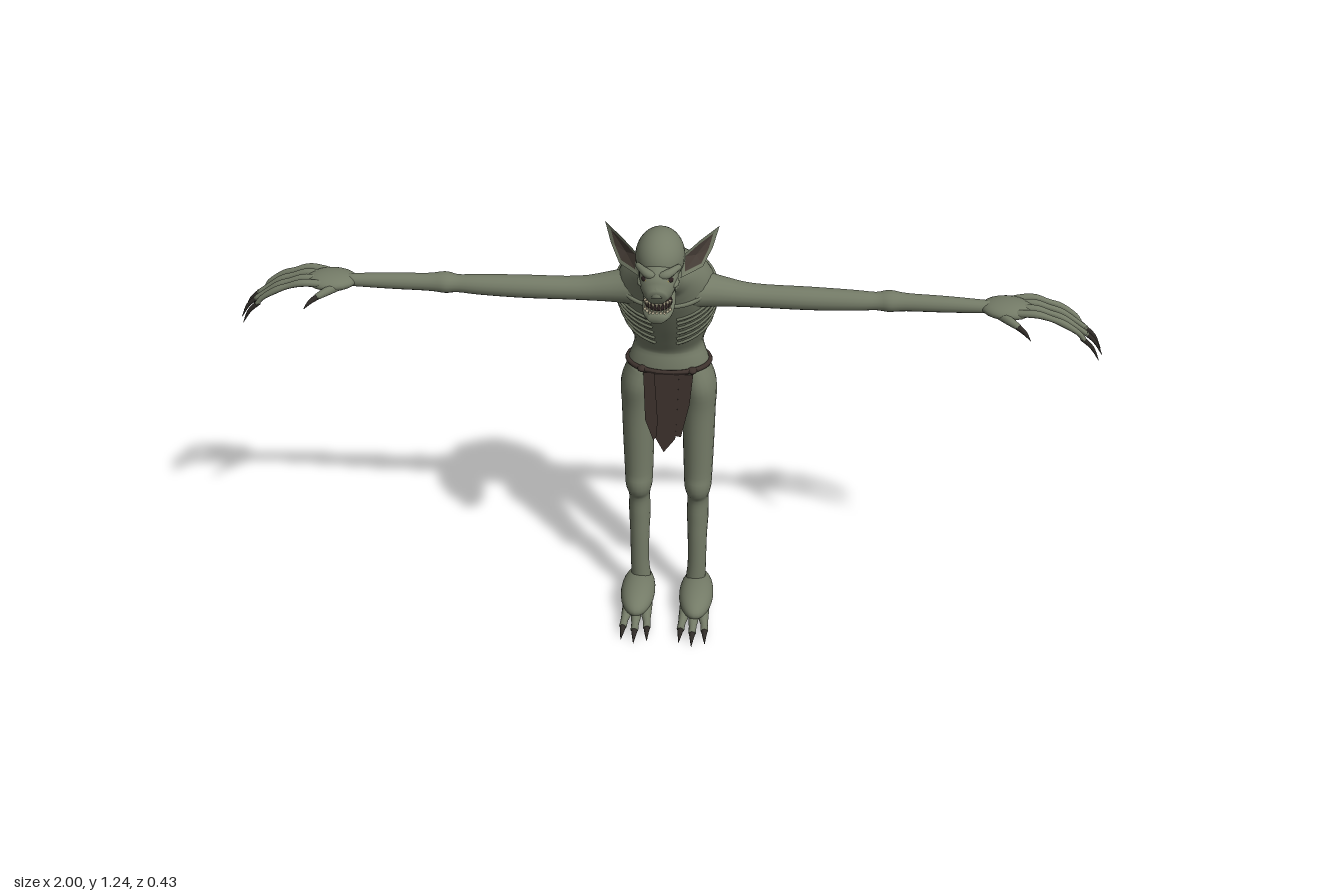
import * as THREE from 'three';

const V = (x, y, z) => new THREE.Vector3(x, y, z);
const X = V(1, 0, 0), Y = V(0, 1, 0), Z = V(0, 0, 1);
const mat = (name, color, side = THREE.FrontSide) => {
  const m = new THREE.MeshStandardMaterial({ color, side });
  m.name = name;
  return m;
};

// Smooth section path: rows of [x, y, z, ru, rv]; ref is the direction of ru
function sections(rows, ref) {
  const path = new THREE.CatmullRomCurve3(rows.map(r => V(r[0], r[1], r[2])), false, 'catmullrom');
  const size = new THREE.CatmullRomCurve3(rows.map(r => V(r[3], r[4] ?? r[3], 0)), false, 'catmullrom');
  return (t, angle, k = 1) => {
    const c = path.getPoint(t), s = size.getPoint(t), d = path.getTangent(t);
    const u = ref.clone().addScaledVector(d, -ref.dot(d)).normalize();
    const v = d.clone().cross(u);
    return c.addScaledVector(u, Math.cos(angle) * s.x * k).addScaledVector(v, Math.sin(angle) * s.y * k);
  };
}

// Closed skin over a section path
function loft(rows, ref, sides = 16, steps = (rows.length - 1) * 4) {
  const at = sections(rows, ref), pos = [], idx = [];
  for (let i = 0; i <= steps; i++)
    for (let j = 0; j < sides; j++) pos.push(...at(i / steps, j / sides * Math.PI * 2).toArray());
  const first = pos.length / 3, last = first + 1;
  pos.push(...at(0, 0, 0).toArray(), ...at(1, 0, 0).toArray());
  for (let j = 0; j < sides; j++) {
    const n = (j + 1) % sides;
    for (let i = 0; i < steps; i++) {
      const a = i * sides + j, b = i * sides + n;
      idx.push(a, b, b + sides, a, b + sides, a + sides);
    }
    idx.push(first, n, j, last, steps * sides + j, steps * sides + n);
  }
  const g = new THREE.BufferGeometry();
  g.setAttribute('position', new THREE.Float32BufferAttribute(pos, 3));
  g.setIndex(idx);
  g.computeVertexNormals();
  return g;
}

function triangles(points) {
  const g = new THREE.BufferGeometry().setFromPoints(points);
  g.computeVertexNormals();
  return g;
}

export function createModel() {
  const root = new THREE.Group();
  const skin = mat('grey green skin', 0x747b67);
  const earSkin = mat('thin ear skin', 0x747b67, THREE.DoubleSide);
  const earDark = mat('inner ear', 0x483f38, THREE.DoubleSide);
  const cloth = mat('brown cloth', 0x3d322d);
  const claw = mat('dark claw', 0x2f2b27);
  const bone = mat('tooth', 0xc4bb9e);
  const dark = mat('mouth dark', 0x2b2020);
  const eyeMat = mat('eye', 0x8f8550);
  const add = (name, geo, m) => {
    const mesh = new THREE.Mesh(geo, m);
    mesh.name = name;
    root.add(mesh);
    return mesh;
  };
  const ball = (name, m, p, r, w = 20) => {
    const b = add(name, new THREE.SphereGeometry(1, w, Math.ceil(w * 0.7)), m);
    b.position.set(...p);
    b.scale.set(...r);
    return b;
  };

  // Hunched torso, bending forward into the neck
  const torso = [
    [0, 0.67, -0.135, 0.06, 0.05], [0, 0.72, -0.135, 0.102, 0.063], [0, 0.76, -0.135, 0.097, 0.064],
    [0, 0.81, -0.138, 0.083, 0.062], [0, 0.87, -0.123, 0.097, 0.075], [0, 0.94, -0.094, 0.113, 0.086],
    [0, 1.0, -0.06, 0.118, 0.087], [0, 1.045, -0.02, 0.106, 0.077], [0, 1.075, 0.02, 0.078, 0.058],
    [0, 1.09, 0.06, 0.05, 0.042], [0, 1.105, 0.1, 0.04, 0.036]];
  const onTorso = sections(torso, X);
  add('torso', loft(torso, X, 32), skin);

  // Knobs of the spine
  for (let i = 0; i < 15; i++) {
    const p = onTorso(0.27 + i * 0.04, Math.PI / 2, 1.0);
    ball('spineKnob', skin, p.toArray(), [0.009, 0.011, 0.007], 10);
  }

  // Ribs and collarbones lie on the torso surface
  const ridge = (name, r, f) => {
    const pts = Array.from({ length: 12 }, (_, i) => f(i / 11));
    add(name, new THREE.TubeGeometry(new THREE.CatmullRomCurve3(pts), 28, r, 6), skin);
  };
  for (const s of [-1, 1]) {
    for (let i = 0; i < 6; i++)
      ridge('rib', 0.0055, k => onTorso(0.4 + i * 0.04 + 0.05 * Math.sin(k * Math.PI * 0.6),
        -Math.PI / 2 + s * (0.25 + k * 2.1), 0.985));
    ridge('collarbone', 0.007, k => onTorso(0.74 - k * 0.04, -Math.PI / 2 + s * (0.15 + k * 1.2), 0.99));
  }

  // Cranium, muzzle and jaw
  ball('cranium', skin, [0, 1.178, 0.11], [0.054, 0.062, 0.068], 28);
  add('muzzle', loft([[0, 1.165, 0.11, 0.044, 0.04], [0, 1.148, 0.16, 0.042, 0.044],
    [0, 1.132, 0.187, 0.034, 0.033], [0, 1.124, 0.205, 0.02, 0.02]], X, 20), skin);
  add('jaw', loft([[0, 1.105, 0.085, 0.03, 0.03], [0, 1.083, 0.135, 0.036, 0.024],
    [0, 1.073, 0.18, 0.032, 0.016], [0, 1.072, 0.204, 0.018, 0.012]], X, 20), skin);
  ball('mouth', dark, [0, 1.094, 0.162], [0.031, 0.014, 0.036]);
  add('nose', loft([[0, 1.165, 0.185, 0.007], [0, 1.145, 0.2, 0.01], [0, 1.127, 0.205, 0.013, 0.008]], X, 12), skin);
  for (let i = 0; i < 9; i++) {
    const a = (i - 4) * 0.27, fang = Math.abs(i - 4) === 2;
    for (const up of [0, 1]) {
      const h = fang ? 0.022 : 0.013;
      const t = add(up ? 'upperTooth' : 'lowerTooth', new THREE.ConeGeometry(0.004, h, 6), bone);
      t.position.set(Math.sin(a) * 0.031, up ? 1.101 : 1.089, 0.163 + Math.cos(a) * 0.036);
      if (up) t.rotation.x = Math.PI;
    }
  }

  for (const s of [-1, 1]) {
    const P = (x, y, z) => V(s * x, y, z);
    const limb = (name, rows, ref, m = skin, sides = 16) =>
      add(name, loft(rows.map(([x, ...r]) => [s * x, ...r]), ref, sides), m);

    // Eyes, brows and cheekbones
    ball('eyeSocket', dark, [s * 0.021, 1.161, 0.182], [0.014, 0.008, 0.012], 14);
    ball('eye', eyeMat, [s * 0.021, 1.161, 0.189], [0.006, 0.005, 0.007], 12);
    limb('brow', [[0.004, 1.17, 0.187, 0.008], [0.022, 1.175, 0.185, 0.01], [0.046, 1.18, 0.158, 0.006]], Y, skin, 10);
    ball('cheekbone', skin, [s * 0.034, 1.145, 0.165], [0.012, 0.009, 0.022], 14);

    // Pointed ears: skin back and rim, dark hollow
    const rim = [P(0.046, 1.178, 0.115), P(0.085, 1.207, 0.09), P(0.125, 1.226, 0.056),
      P(0.112, 1.18, 0.068), P(0.092, 1.142, 0.09), P(0.046, 1.133, 0.127)];
    const hub = P(0.077, 1.17, 0.088), back = P(0.072, 1.168, 0.07);
    const inner = rim.map(p => p.clone().lerp(hub, 0.27));
    const shell = [], hollow = [];
    rim.forEach((p, i) => {
      const j = (i + 1) % rim.length, q = rim[j];
      shell.push(p, q, back, p, inner[i], q, q, inner[i], inner[j]);
      hollow.push(inner[i], hub, inner[j]);
    });
    add('ear', triangles(shell), earSkin);
    add('innerEar', triangles(hollow), earDark);

    // Long outstretched arm, thin at the wrist
    limb('arm', [[0.06, 1.02, -0.025, 0.052, 0.045], [0.12, 1.012, -0.027, 0.038, 0.036],
      [0.2, 1.004, -0.027, 0.028, 0.028], [0.33, 1.002, -0.027, 0.027, 0.027],
      [0.43, 1.002, -0.027, 0.024, 0.024], [0.48, 1.002, -0.028, 0.021, 0.021],
      [0.51, 1.003, -0.029, 0.026, 0.025], [0.55, 1.003, -0.027, 0.02, 0.021],
      [0.64, 1.003, -0.025, 0.018, 0.019], [0.75, 1.003, -0.022, 0.015, 0.014]], Z);
    ball('hand', skin, [s * 0.775, 1.003, -0.021], [0.06, 0.02, 0.044]);
    [-0.06, -0.036, -0.011, 0.013].forEach((z, i) => {
      const e = [0.012, 0, 0, 0.01][i], w = z * 1.05;
      limb('finger', [[0.77, 1.004, z * 0.8 - 0.004, 0.008], [0.83, 1.01, z, 0.009], [0.87, 1.0, z, 0.007],
        [0.9, 0.988, w, 0.008], [0.935, 0.966, w, 0.006], [0.96 - e, 0.948, w, 0.006]], Z, skin, 10);
      limb('fingerClaw', [[0.955 - e, 0.952, w, 0.006], [0.98 - e, 0.929, w, 0.0045],
        [1 - e, 0.895, w, 0.0005]], Z, claw, 8);
    });
    limb('thumb', [[0.75, 1.0, 0.0, 0.01], [0.775, 0.998, 0.025, 0.01], [0.797, 0.992, 0.044, 0.007]], Y, skin, 10);
    limb('thumbClaw', [[0.793, 0.993, 0.041, 0.007], [0.81, 0.985, 0.055, 0.005], [0.823, 0.973, 0.068, 0.0005]], Y, claw, 8);

    // Leg with bony knee and calf
    limb('leg', [[0.072, 0.06, -0.13, 0.026, 0.025], [0.075, 0.12, -0.128, 0.024, 0.023],
      [0.075, 0.21, -0.13, 0.025, 0.026], [0.075, 0.28, -0.138, 0.028, 0.033],
      [0.075, 0.34, -0.132, 0.027, 0.028], [0.075, 0.38, -0.123, 0.034, 0.04],
      [0.075, 0.42, -0.127, 0.036, 0.039], [0.075, 0.52, -0.128, 0.039, 0.041],
      [0.075, 0.62, -0.129, 0.041, 0.045], [0.074, 0.69, -0.133, 0.043, 0.059],
      [0.06, 0.75, -0.135, 0.034, 0.052]], X, skin, 20);

    // Foot with three clawed toes
    ball('foot', skin, [s * 0.077, 0.045, -0.088], [0.045, 0.037, 0.095], 24);
    for (const k of [-1, 0, 1]) {
      const x = 0.075 + k * 0.026, z = k ? -0.012 : 0;
      limb('toe', [[x, 0.03, -0.06, 0.013], [x, 0.026, z - 0.005, 0.013], [x + k * 0.003, 0.023, z + 0.018, 0.01],
        [x + k * 0.005, 0.019, z + 0.04, 0.01]], X, skin, 10);
      limb('toeClaw', [[x + k * 0.005, 0.019, z + 0.036, 0.009], [x + k * 0.006, 0.013, z + 0.056, 0.005],
        [x + k * 0.008, 0.003, z + 0.074, 0.0005]], X, claw, 8);
    }
  }

  // Cord belt with knots at the hips
  const cord = Array.from({ length: 32 }, (_, i) => {
    const a = i / 32 * Math.PI * 2;
    return V(Math.cos(a) * 0.1, 0.755, -0.134 + Math.sin(a) * 0.068);
  });
  add('belt', new THREE.TubeGeometry(new THREE.CatmullRomCurve3(cord, true), 64, 0.006, 8, true), cloth);
  for (const s of [-1, 1]) ball('beltKnot', cloth, [s * 0.06, 0.755, -0.08], [0.012, 0.008, 0.012], 12);

  // Ragged loincloth panels, front and back
  const panels = [
    [[-0.056, 0.755], [-0.052, 0.62], [-0.032, 0.56], [-0.008, 0.6], [-0.005, 0.755]],
    [[0.01, 0.755], [0.012, 0.58], [0.036, 0.575], [0.056, 0.67], [0.064, 0.755]],
    [[-0.03, 0.755], [-0.022, 0.62], [-0.026, 0.57], [-0.006, 0.53], [0.022, 0.57], [0.026, 0.64], [0.03, 0.755]]];
  for (const f of [1, -1]) panels.forEach((p, i) => {
    const shape = new THREE.Shape(p.map(([x, y]) => new THREE.Vector2(x, y - 0.755)));
    const m = add(f > 0 ? 'frontCloth' : 'backCloth',
      new THREE.ExtrudeGeometry(shape, { depth: 0.003, bevelEnabled: false }), cloth);
    m.position.set(0, 0.755, f > 0 ? -0.065 + i * 0.002 : -0.2 - i * 0.002);
    m.rotation.set(f * -0.035, f > 0 ? 0 : Math.PI, 0);
  });
  return root;
}
